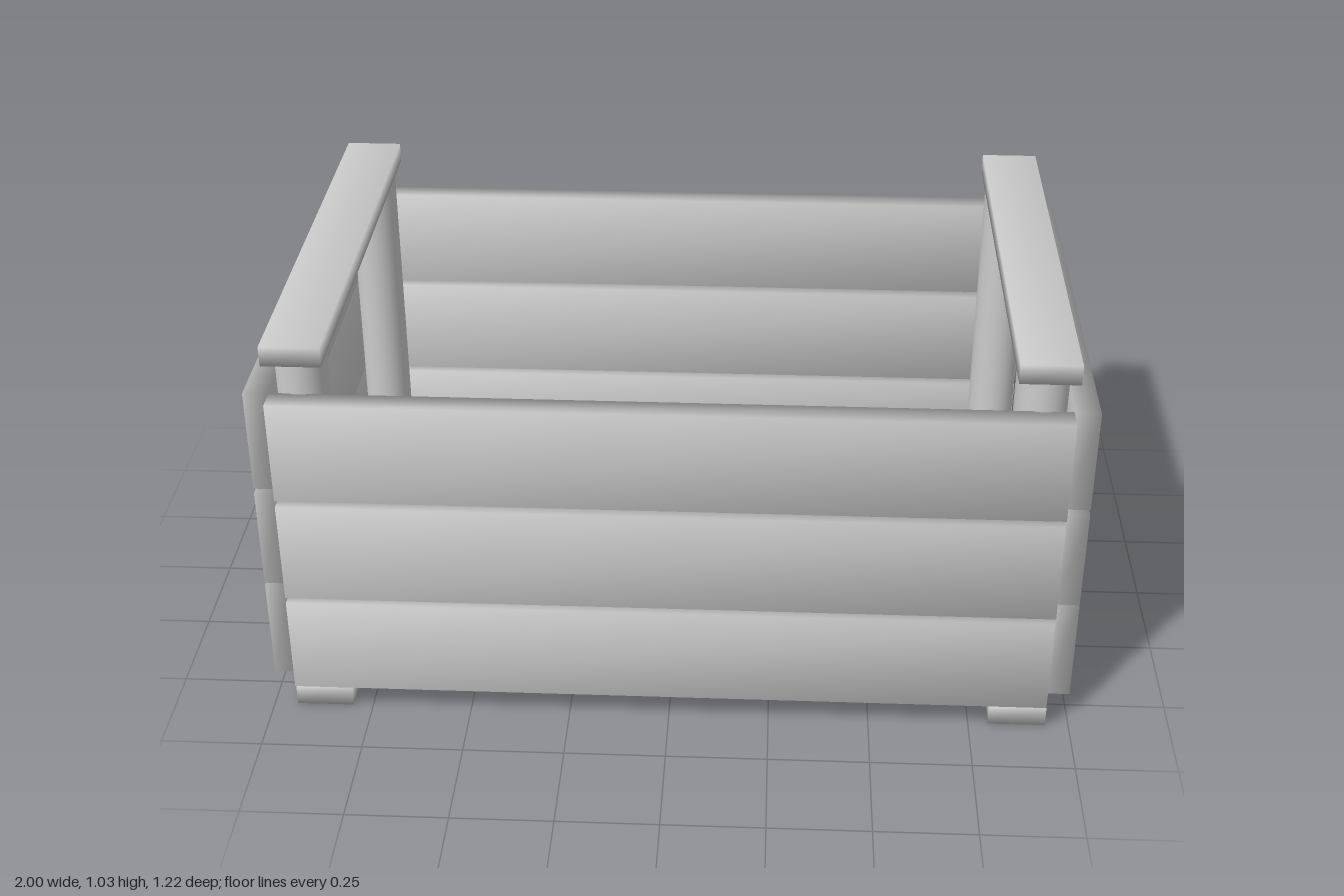
import * as THREE from 'three';
import { mergeVertices } from 'three/addons/utils/BufferGeometryUtils.js';

const material = new THREE.MeshStandardMaterial({ color: 0xcccccc });

// Board between two corners, with softly shaded shared corners
function board(name, [x0, y0, z0], [x1, y1, z1]) {
  const box = new THREE.BoxGeometry(x1 - x0, y1 - y0, z1 - z0);
  box.deleteAttribute('normal');
  box.deleteAttribute('uv');
  const geometry = mergeVertices(box);
  geometry.computeVertexNormals();
  const mesh = new THREE.Mesh(geometry, material);
  mesh.name = name;
  mesh.position.set((x0 + x1) / 2, (y0 + y1) / 2, (z0 + z1) / 2);
  return mesh;
}

export function createModel() {
  const crate = new THREE.Group();
  crate.name = 'crate';

  // Three rows of wall slats: long ones front and back, short ones at the ends
  const longRows = [[0.075, 0.33], [0.345, 0.61], [0.627, 0.89]];
  const shortRows = [[0.075, 0.34], [0.347, 0.61], [0.623, 0.887]];
  for (let i = 0; i < 3; i++) {
    const [a, b] = longRows[i];
    crate.add(board('frontSlat', [-0.937, a, 0.552], [0.937, b, 0.612]));
    crate.add(board('backSlat', [-0.937, a, -0.612], [0.937, b, -0.552]));
    const [c, d] = shortRows[i];
    crate.add(board('rightSlat', [-1, c, -0.553], [-0.94, d, 0.553]));
    crate.add(board('leftSlat', [0.94, c, -0.553], [1, d, 0.553]));
  }

  // Floor slats
  for (const z of [-0.295, 0, 0.29]) {
    crate.add(board('floorSlat', [-0.937, 0.065, z - 0.132], [0.937, 0.125, z + 0.132]));
  }

  // Round corner posts, with a rail and a foot bar across each end
  const postGeometry = new THREE.CylinderGeometry(0.062, 0.062, 0.918, 32);
  for (const side of [-1, 1]) {
    for (const end of [-1, 1]) {
      const post = new THREE.Mesh(postGeometry, material);
      post.name = 'cornerPost';
      post.position.set(side * 0.866, 0.522, end * 0.495);
      crate.add(post);
    }
    const x0 = side < 0 ? -0.942 : 0.8;
    const x1 = side < 0 ? -0.8 : 0.942;
    crate.add(board('topRail', [x0, 0.98, -0.585], [x1, 1.03, 0.585]));
    crate.add(board('footBar', [x0, 0, -0.585], [x1, 0.053, 0.585]));
  }
  return crate;
}
